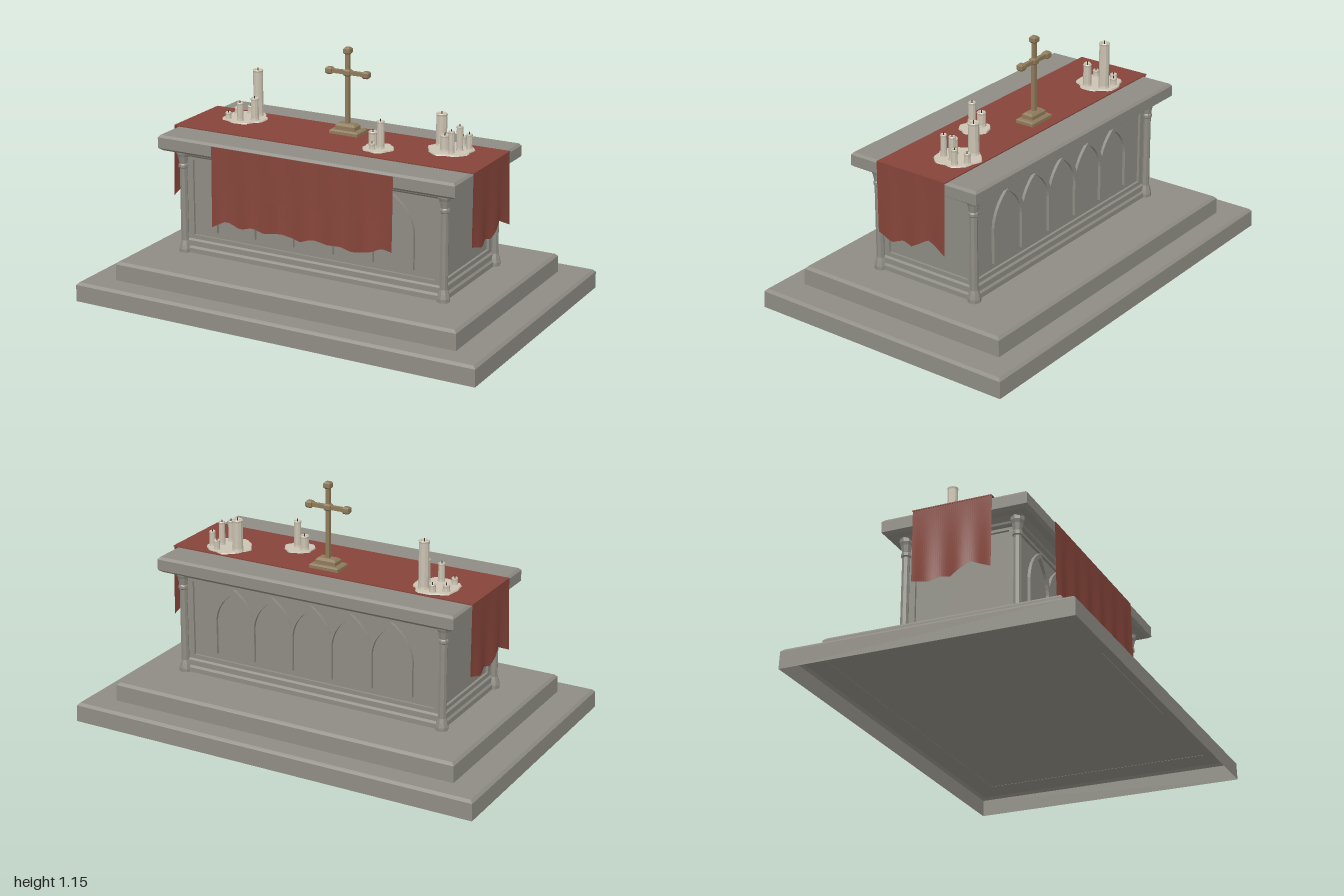
import * as THREE from 'three';

const mat = (name, color, side = THREE.FrontSide) =>
  new THREE.MeshStandardMaterial({ name, color, side, flatShading: true });

// Rectangular block lofted through levels of [y, halfX, halfZ]
function loft(levels, closeBottom = true) {
  const pos = [], idx = [];
  for (const [y, a, b] of levels) pos.push(a, y, b, a, y, -b, -a, y, -b, -a, y, b);
  const n = levels.length;
  for (let k = 0; k < n - 1; k++) for (let i = 0; i < 4; i++) {
    const p = k * 4 + i, q = k * 4 + (i + 1) % 4;
    idx.push(p, q, q + 4, p, q + 4, p + 4);
  }
  const t = (n - 1) * 4;
  idx.push(t, t + 1, t + 2, t, t + 2, t + 3);
  if (closeBottom) idx.push(0, 2, 1, 0, 3, 2);
  const g = new THREE.BufferGeometry();
  g.setAttribute('position', new THREE.Float32BufferAttribute(pos, 3));
  g.setIndex(idx);
  const flat = g.toNonIndexed();
  flat.computeVertexNormals();
  return flat;
}

// Hanging cloth: hem is a list of [across, y] points, with folds growing downwards
function drape(top, hem, flare) {
  const x0 = hem[0][0], w = hem[hem.length - 1][0] - x0;
  const g = new THREE.PlaneGeometry(w, 1, 40, 5), p = g.attributes.position;
  for (let i = 0; i < p.count; i++) {
    const t = 0.5 - p.getY(i), x = p.getX(i) + x0 + w / 2;
    let k = 0;
    while (k < hem.length - 2 && x > hem[k + 1][0]) k++;
    const [ax, ay] = hem[k], [bx, by] = hem[k + 1];
    const low = ay + (by - ay) * (x - ax) / (bx - ax);
    p.setXYZ(i, x, top + (low - top) * t, t * (flare + 0.005 * Math.sin(x * 42)));
  }
  g.computeVertexNormals();
  return g;
}

const lathe = (pts, n) => new THREE.LatheGeometry(pts.map(([r, y]) => new THREE.Vector2(r, y)), n);

export function createModel() {
  const root = new THREE.Group();
  root.name = 'altar';
  const stone = mat('stone', 0x8e8c83, THREE.DoubleSide);
  const cloth = mat('red cloth', 0x86453a, THREE.DoubleSide);
  const wax = mat('wax', 0xcbc3b2);
  const brass = mat('aged brass', 0x8f7b5b);
  const wick = mat('wick', 0x3b352d);

  const add = (name, geo, m, x = 0, y = 0, z = 0, parent = root) => {
    const mesh = new THREE.Mesh(geo, m);
    mesh.name = name;
    mesh.position.set(x, y, z);
    parent.add(mesh);
    return mesh;
  };

  // Steps, hollow underneath
  add('lowerStep', loft([[0, 1, 0.655], [0.078, 0.998, 0.653], [0.09, 0.986, 0.641]], false), stone);
  add('upperStep', loft([[0.089, 0.857, 0.541], [0.166, 0.855, 0.539], [0.178, 0.843, 0.527]], false), stone);

  // Body, plinth, cornice and table slab
  add('body', loft([[0.17, 0.64, 0.24], [0.67, 0.64, 0.24]]), stone);
  add('plinth', loft([[0.17, 0.667, 0.267], [0.2, 0.667, 0.267], [0.21, 0.66, 0.26],
    [0.235, 0.66, 0.26], [0.245, 0.65, 0.25]]), stone);
  add('cornice', loft([[0.635, 0.652, 0.252], [0.645, 0.665, 0.265], [0.655, 0.668, 0.268],
    [0.672, 0.695, 0.295]]), stone);
  add('tableSlab', loft([[0.67, 0.725, 0.325], [0.682, 0.743, 0.34], [0.732, 0.743, 0.34],
    [0.743, 0.733, 0.33]]), stone);

  // Corner columns with flared bases and capitals
  const column = lathe([[0.03, 0.178], [0.03, 0.195], [0.025, 0.215], [0.019, 0.235], [0.018, 0.58],
    [0.023, 0.585], [0.023, 0.597], [0.019, 0.603], [0.025, 0.635], [0.031, 0.65], [0.031, 0.672]], 8);
  for (const sx of [-1, 1]) for (const sz of [-1, 1])
    add('cornerColumn', column, stone, sx * 0.66, 0, sz * 0.26);

  // Raised frames around the four sunken panels
  const frame = (half) => {
    const s = new THREE.Shape([[-half, 0.23], [half, 0.23], [half, 0.65], [-half, 0.65]]
      .map(([x, y]) => new THREE.Vector2(x, y)));
    const i = half - 0.03;
    s.holes.push(new THREE.Path([[-i, 0.262], [-i, 0.622], [i, 0.622], [i, 0.262]]
      .map(([x, y]) => new THREE.Vector2(x, y))));
    return new THREE.ExtrudeGeometry(s, { depth: 0.012, bevelEnabled: false });
  };
  const longFrame = frame(0.645), shortFrame = frame(0.247);

  // Pointed arch moulding, open at the foot
  const arch = new THREE.Shape();
  arch.moveTo(-0.11, 0.29);
  arch.lineTo(-0.11, 0.46);
  arch.quadraticCurveTo(-0.1, 0.56, 0, 0.622);
  arch.quadraticCurveTo(0.1, 0.56, 0.11, 0.46);
  arch.lineTo(0.11, 0.29);
  arch.lineTo(0.09, 0.29);
  arch.lineTo(0.09, 0.46);
  arch.quadraticCurveTo(0.08, 0.545, 0, 0.598);
  arch.quadraticCurveTo(-0.08, 0.545, -0.09, 0.46);
  arch.lineTo(-0.09, 0.29);
  const archGeo = new THREE.ExtrudeGeometry(arch, { depth: 0.014, bevelEnabled: false, curveSegments: 7 });

  for (let k = 0; k < 4; k++) {
    const side = new THREE.Group(), long = k % 2 === 0, d = long ? 0.24 : 0.64;
    side.name = ['frontPanel', 'leftPanel', 'backPanel', 'rightPanel'][k];
    side.rotation.y = k * Math.PI / 2;
    root.add(side);
    add('panelFrame', long ? longFrame : shortFrame, stone, 0, 0, d, side);
    if (long) for (let i = -2; i <= 2; i++) add('arch', archGeo, stone, i * 0.2, 0, d, side);
  }

  // Cloths: runner over the top, two end drapes and a front drape
  add('clothRunner', new THREE.BoxGeometry(1.514, 0.005, 0.37), cloth, 0, 0.7465, -0.002);
  const endHem = [[-0.185, 0.415], [-0.1, 0.393], [-0.05, 0.412], [0, 0.4], [0.09, 0.455], [0.185, 0.41]];
  const endGeo = drape(0.747, endHem, 0.004);
  for (const s of [-1, 1])
    add('endDrape', endGeo, cloth, s * 0.755, 0, 0).rotation.y = s * Math.PI / 2;
  const frontHem = [[-0.455, 0.355], [-0.38, 0.395], [-0.31, 0.367], [-0.24, 0.388], [-0.19, 0.365],
    [-0.1, 0.385], [0, 0.362], [0.06, 0.385], [0.13, 0.37], [0.2, 0.378], [0.26, 0.357],
    [0.36, 0.38], [0.4, 0.4], [0.455, 0.392]];
  add('frontDrape', drape(0.732, frontHem, 0.006), cloth, 0, 0, 0.345);

  // Standing cross on a stepped foot
  const cross = new THREE.Group();
  cross.name = 'cross';
  cross.position.set(0, 0, -0.088);
  root.add(cross);
  add('crossFoot', loft([[0.748, 0.073, 0.046], [0.762, 0.073, 0.046], [0.768, 0.066, 0.04]]), brass, 0, 0, 0, cross);
  add('crossFootStep', loft([[0.766, 0.05, 0.028], [0.785, 0.05, 0.028], [0.795, 0.04, 0.018]]), brass, 0, 0, 0, cross);
  add('crossShaft', new THREE.BoxGeometry(0.018, 0.34, 0.018), brass, 0, 0.96, 0, cross);
  add('crossArm', new THREE.BoxGeometry(0.19, 0.018, 0.018), brass, 0, 1.03, 0, cross);
  const knob = loft([[-0.016, 0.01, 0.01], [-0.009, 0.016, 0.016], [0.009, 0.016, 0.016], [0.016, 0.01, 0.01]]);
  for (const [x, y] of [[-0.093, 1.03], [0.093, 1.03], [0, 1.03], [0, 1.131]])
    add('crossKnob', knob, brass, x, y, 0, cross);

  // Spilled wax pools: [x, z, radius]
  for (const [x, z, r] of [[-0.53, -0.073, 0.107], [0.523, -0.073, 0.107], [0.235, 0.062, 0.073]]) {
    const g = new THREE.CylinderGeometry(r * 0.97, r, 0.006, 32), p = g.attributes.position;
    for (let i = 0; i < p.count; i++) {
      const a = Math.atan2(p.getZ(i), p.getX(i));
      const k = 0.96 + 0.05 * Math.sin(5 * a + x * 9) + 0.035 * Math.sin(9 * a + z * 20);
      p.setX(i, p.getX(i) * k);
      p.setZ(i, p.getZ(i) * k);
    }
    g.computeVertexNormals();
    add('waxPool', g, wax, x, 0.752, z);
  }

  // Candles with hollowed tops: [x, z, radius, top]
  const candles = [
    [-0.595, -0.11, 0.016, 0.785], [-0.545, -0.143, 0.015, 0.79], [-0.493, -0.125, 0.024, 0.975],
    [-0.467, -0.05, 0.019, 0.86], [-0.522, -0.012, 0.015, 0.84], [-0.588, -0.015, 0.014, 0.785],
    [0.46, -0.108, 0.025, 0.902], [0.55, -0.143, 0.014, 0.8], [0.595, -0.11, 0.014, 0.825],
    [0.565, -0.075, 0.015, 0.865], [0.51, -0.037, 0.02, 0.828], [0.552, -0.018, 0.014, 0.855],
    [0.202, 0.05, 0.02, 0.822], [0.248, 0.066, 0.017, 0.88], [0.222, 0.095, 0.013, 0.782]];
  for (const [x, z, r, top] of candles) {
    add('candle', lathe([[r * 1.15, 0.75], [r, 0.765], [r * 0.97, top - 0.012], [r * 1.06, top - 0.004],
      [r * 0.9, top], [r * 0.65, top - 0.003], [r * 0.55, top - 0.01], [0, top - 0.01]], 10), wax, x, 0, z);
    add('wick', new THREE.CylinderGeometry(0.002, 0.003, 0.02, 5), wick, x, top - 0.002, z);
  }
  return root;
}
